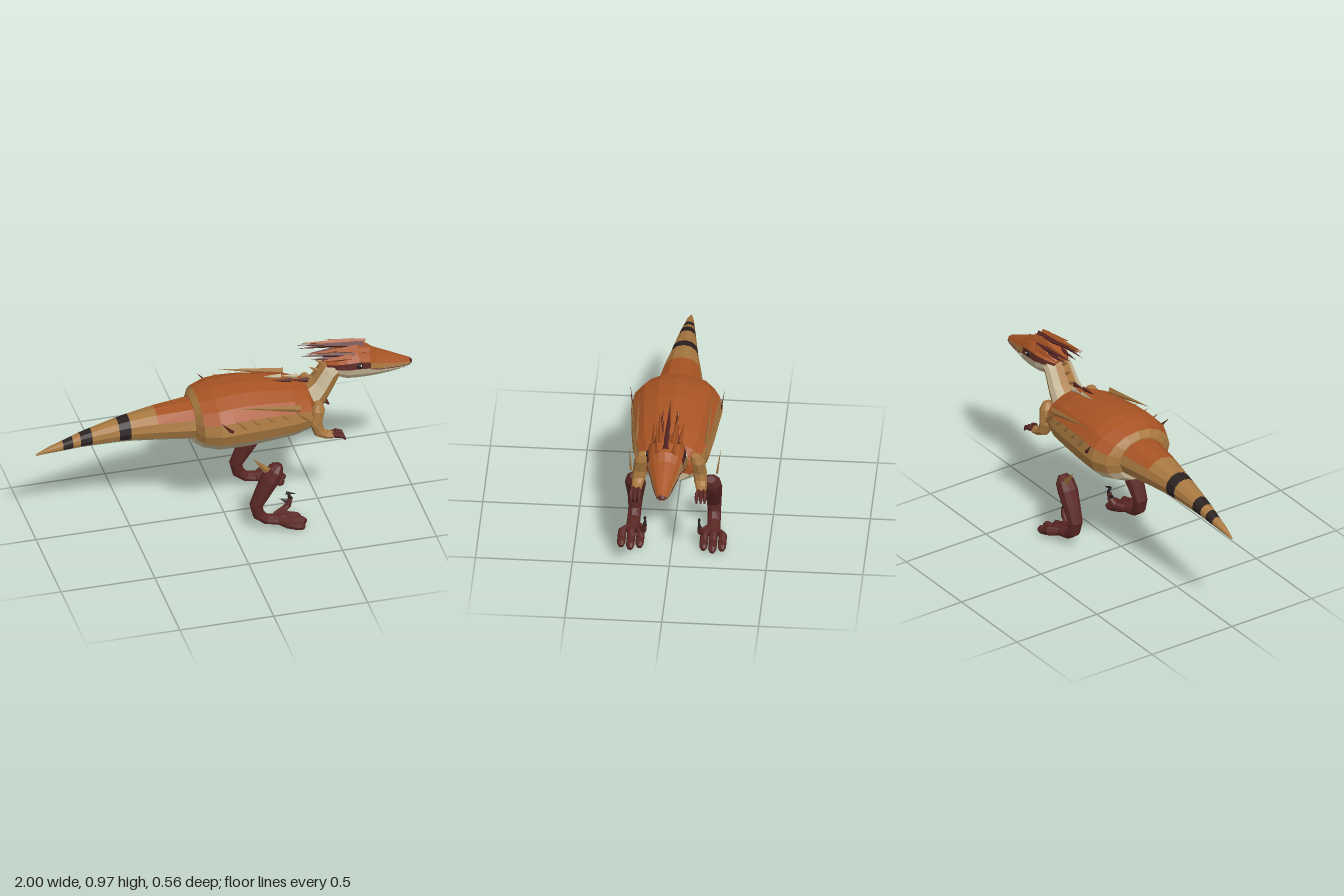
import * as THREE from 'three';

const mat = (name, color) => {
  const m = new THREE.MeshStandardMaterial({ color, flatShading: true });
  m.name = name;
  return m;
};
const C = {
  rust: mat('rust', 0xa85424),
  tan: mat('tan', 0xa87840),
  cream: mat('cream', 0xc6b796),
  maroon: mat('maroon', 0x5a2724),
  black: mat('black', 0x2a2020),
  ivory: mat('ivory', 0xe4dccb),
};

// Skin closed rings with flat faces; colour(i, s) picks a material for ring i at height s (-1..1)
function skin(name, rings, colour) {
  const group = new THREE.Group();
  group.name = name;
  const buckets = {};
  const n = rings[0].length;
  const add = (key, ...pts) => {
    buckets[key] = buckets[key] || [];
    pts.forEach(p => buckets[key].push(p.x, p.y, p.z));
  };
  const centre = r => r.reduce((a, p) => a.add(p), new THREE.Vector3()).divideScalar(n);
  const last = rings.length - 1, c0 = centre(rings[0]), c1 = centre(rings[last]);
  for (let j = 0; j < n; j++) {
    const k = (j + 1) % n, s = Math.sin((j + 0.5) / n * Math.PI * 2);
    for (let i = 0; i < last; i++) {
      const a = rings[i], b = rings[i + 1];
      add(colour(i, s), a[j], b[j], b[k], a[j], b[k], a[k]);
    }
    add(colour(0, s), c0, rings[0][j], rings[0][k]);
    add(colour(last - 1, s), c1, rings[last][k], rings[last][j]);
  }
  for (const key in buckets) {
    const g = new THREE.BufferGeometry();
    g.setAttribute('position', new THREE.Float32BufferAttribute(buckets[key], 3));
    g.computeVertexNormals();
    const m = new THREE.Mesh(g, C[key]);
    m.name = name + ' ' + key;
    group.add(m);
  }
  return group;
}

function ring(x, y, z, up, side, n, angle = 0) {
  return Array.from({ length: n }, (_, j) => {
    const a = j / n * Math.PI * 2, u = Math.sin(a) * up;
    return new THREE.Vector3(x - Math.sin(angle) * u, y + Math.cos(angle) * u, z + Math.cos(a) * side);
  });
}

// Upright sections: [x, top, bottom, half width]
const hull = (name, rows, n, colour) =>
  skin(name, rows.map(([x, t, b, w]) => ring(x, (t + b) / 2, 0, (t - b) / 2, w, n)), colour);

// Sections square to a path: [x, y, z, thickness, half width]
const limb = (name, rows, n, colour) => skin(name, rows.map(([x, y, z, u, w], i) => {
  const p = rows[Math.max(0, i - 1)], q = rows[Math.min(rows.length - 1, i + 1)];
  return ring(x, y, z, u, w, n, Math.atan2(q[1] - p[1], q[0] - p[0]));
}), typeof colour === 'string' ? () => colour : colour);

// Flattened pointed feather, claw or tooth
function spike(name, base, tip, r, colour, flat = 0.4) {
  const a = new THREE.Vector3(...base), b = new THREE.Vector3(...tip);
  const d = b.clone().sub(a), len = d.length();
  const g = new THREE.ConeGeometry(r, len, 4);
  g.translate(0, len / 2, 0);
  const m = new THREE.Mesh(g, C[colour]);
  m.name = name;
  m.scale.z = flat;
  m.quaternion.setFromUnitVectors(new THREE.Vector3(0, 1, 0), d.normalize());
  m.position.copy(a);
  return m;
}

export function createModel() {
  const model = new THREE.Group();
  model.name = 'raptor';
  const add = (...o) => model.add(...o);

  // Torso
  add(hull('torso', [
    [-0.18, 0.735, 0.50, 0.14], [-0.15, 0.765, 0.485, 0.20], [-0.07, 0.79, 0.465, 0.235],
    [0, 0.80, 0.46, 0.235], [0.1, 0.80, 0.455, 0.225], [0.22, 0.785, 0.465, 0.215],
    [0.34, 0.765, 0.475, 0.20], [0.43, 0.735, 0.495, 0.17], [0.47, 0.68, 0.52, 0.11],
  ], 16, (i, s) => s > 0.5 ? (i === 0 ? 'tan' : 'rust') : s > -0.3 ? (i === 7 ? 'rust' : 'tan') : 'cream'));

  // Tail with dark bands
  add(hull('tail', [
    [-1, 0.537, 0.527, 0.004], [-0.93, 0.568, 0.535, 0.018], [-0.86, 0.592, 0.54, 0.027],
    [-0.81, 0.61, 0.545, 0.034], [-0.77, 0.625, 0.548, 0.039], [-0.71, 0.642, 0.55, 0.047],
    [-0.57, 0.678, 0.552, 0.066], [-0.51, 0.69, 0.55, 0.074], [-0.37, 0.712, 0.54, 0.1],
    [-0.16, 0.73, 0.52, 0.135],
  ], 12, (i, s) => s < -0.3 ? 'cream' : [2, 4, 6].includes(i) ? 'black'
    : i === 8 && s > 0.3 ? 'rust' : 'tan'));

  // Neck
  add(limb('neck', [
    [0.40, 0.60, 0, 0.09, 0.11], [0.46, 0.65, 0, 0.08, 0.10], [0.52, 0.725, 0, 0.06, 0.088],
    [0.565, 0.80, 0, 0.056, 0.08], [0.63, 0.85, 0, 0.06, 0.075],
  ], 12, (i, s) => i === 0 ? 'rust' : s > 0.9 ? 'tan' : s > -0.1 ? 'cream' : 'tan'));
  const bib = new THREE.Mesh(new THREE.BoxGeometry(0.02, 0.07, 0.04), C.rust);
  bib.name = 'chest tuft';
  bib.position.set(0.47, 0.54, 0);
  add(bib);

  // Head: crown, face mask and pale jaw
  const head = [
    [0.54, 0.87, 0.80, 0.045], [0.59, 0.905, 0.765, 0.08], [0.64, 0.925, 0.745, 0.098],
    [0.70, 0.93, 0.74, 0.10], [0.76, 0.912, 0.738, 0.092], [0.80, 0.882, 0.738, 0.08],
    [0.88, 0.845, 0.74, 0.058], [0.95, 0.812, 0.748, 0.037], [0.985, 0.797, 0.757, 0.024],
    [1.0, 0.785, 0.765, 0.012],
  ];
  add(hull('head', head, 16, (i, s) => i === 8 && s > 0 ? 'maroon'
    : s < 0 ? 'cream' : s < 0.3 ? (i < 4 ? 'maroon' : 'tan') : 'rust'));

  // Swept crest on the crown
  [[0.74, 0.915, 0, 0.38, 0.975, 0, 'maroon'], [0.70, 0.92, 0.03, 0.42, 0.945, 0.055, 'rust'],
    [0.68, 0.905, 0.05, 0.40, 0.925, 0.035, 'maroon'], [0.66, 0.895, 0.065, 0.47, 0.905, 0.08, 'rust'],
    [0.64, 0.885, 0.04, 0.45, 0.89, 0.03, 'maroon'], [0.76, 0.90, 0.04, 0.55, 0.945, 0.06, 'rust'],
  ].forEach(([x, y, z, X, Y, Z, c]) => {
    for (const s of z ? [1, -1] : [1]) add(spike('crest feather', [x, y, z * s], [X, Y, Z * s], 0.024, c, 0.7));
  });

  // Small spines behind the neck and quills on the back
  [[0.54, 0.83], [0.51, 0.79], [0.48, 0.745]].forEach(([x, y]) =>
    add(spike('neck spine', [x, y, 0], [x - 0.06, y + 0.04, 0], 0.015, 'tan')));
  for (let i = 0; i < 4; i++) {
    const x = 0.31 + i * 0.045, y = 0.775 - i * 0.006, z = i % 2 ? 0.012 : -0.03;
    add(spike('back quill', [x, y, z], [x - 0.1, y + 0.015, z], 0.016, i % 2 ? 'maroon' : 'cream'));
  }

  for (const s of [1, -1]) {
    const side = s > 0 ? 'left ' : 'right ';

    // Eye and glint
    const eye = new THREE.Mesh(new THREE.SphereGeometry(0.018, 10, 6), C.black);
    eye.name = side + 'eye';
    eye.position.set(0.70, 0.852, s * 0.097);
    eye.scale.z = 0.4;
    const glint = new THREE.Mesh(new THREE.SphereGeometry(0.005, 6, 4), C.ivory);
    glint.name = side + 'eye glint';
    glint.position.set(0.705, 0.857, s * 0.104);
    add(eye, glint);

    // Mouth line and teeth along the jaw edge
    const lip = head.slice(4, 9).map(([x, t, b, w]) => new THREE.Vector3(x, (t + b) / 2 - 0.004, s * w));
    const curve = new THREE.CatmullRomCurve3(lip);
    const mouth = new THREE.Mesh(new THREE.TubeGeometry(curve, 10, 0.003, 4), C.maroon);
    mouth.name = side + 'mouth line';
    add(mouth);
    for (let i = 0; i < 9; i++) {
      const p = curve.getPoint(0.08 + i * 0.1);
      add(spike(side + 'tooth', [p.x, p.y, p.z], [p.x, p.y - 0.015, p.z], 0.006, 'ivory', 0.7));
    }

    // Flank quills trailing up and back
    for (let i = 0; i < 6; i++) {
      const x = 0.02 + i * 0.08;
      const z = 0.232 - i * 0.009;
      add(spike(side + 'flank quill', [x, 0.61, s * (z - 0.012)],
        [x - 0.1, 0.725 - i * 0.004, s * (z + 0.012)], 0.016, i ? 'tan' : 'maroon'));
    }
    // Long folded feather above them
    add(spike(side + 'shoulder feather', [0.36, 0.70, s * 0.18], [0.02, 0.765, s * 0.19], 0.022, 'tan'));

    // Arm, hand and fingers
    add(limb(side + 'arm', [
      [0.47, 0.69, s * 0.135, 0.02, 0.025], [0.465, 0.655, s * 0.145, 0.036, 0.036],
      [0.45, 0.58, s * 0.155, 0.034, 0.036], [0.465, 0.53, s * 0.16, 0.03, 0.034],
      [0.50, 0.51, s * 0.165, 0.022, 0.028], [0.535, 0.505, s * 0.168, 0.02, 0.025],
    ], 8, 'tan'));
    [0.148, 0.17, 0.19].forEach((z, i) => add(limb(side + 'finger', [
      [0.51, 0.508, s * 0.167, 0.016, 0.014], [0.555, 0.51 - (i % 2) * 0.008, s * z, 0.015, 0.011],
      [0.585, 0.50, s * z, 0.012, 0.01], [0.598, 0.478, s * z, 0.005, 0.004],
    ], 6, 'maroon')));

    // Shin, ankle and foot
    add(limb(side + 'leg', [
      [0.245, 0.385, s * 0.196, 0.02, 0.025], [0.225, 0.355, s * 0.196, 0.044, 0.05],
      [0.195, 0.31, s * 0.197, 0.05, 0.054], [0.155, 0.235, s * 0.2, 0.043, 0.046],
      [0.118, 0.16, s * 0.203, 0.035, 0.038], [0.13, 0.105, s * 0.205, 0.032, 0.034],
      [0.17, 0.07, s * 0.207, 0.026, 0.034], [0.26, 0.052, s * 0.208, 0.024, 0.036],
    ], 10, 'maroon'));
    // Three walking toes
    [0.165, 0.212, 0.26].forEach((z, i) => {
      const e = i === 1 ? 0.02 : 0;
      add(limb(side + 'toe', [
        [0.21, 0.06, s * 0.208, 0.018, 0.018], [0.27, 0.055, s * z, 0.026, 0.021],
        [0.31, 0.038, s * z, 0.022, 0.022], [0.345 + e, 0.03, s * z, 0.023, 0.021],
        [0.36 + e, 0.022, s * z, 0.014, 0.013],
      ], 8, 'maroon'));
    });
    // Raised inner toe with hooked claws
    add(limb(side + 'raised toe', [
      [0.22, 0.065, s * 0.18, 0.018, 0.016], [0.27, 0.068, s * 0.152, 0.02, 0.017],
      [0.305, 0.095, s * 0.146, 0.017, 0.015], [0.315, 0.13, s * 0.144, 0.013, 0.012],
    ], 8, 'maroon'));
    add(spike(side + 'hooked claw', [0.318, 0.125, s * 0.142], [0.30, 0.175, s * 0.14], 0.014, 'black', 0.7));
    add(spike(side + 'hooked claw tip', [0.295, 0.165, s * 0.14], [0.35, 0.152, s * 0.14], 0.011, 'black', 0.7));
    add(spike(side + 'heel claw', [0.30, 0.115, s * 0.14], [0.26, 0.135, s * 0.138], 0.014, 'black', 0.7));

    // Knee feather
    add(spike(side + 'knee feather', [0.175, 0.375, s * 0.222], [0.09, 0.475, s * 0.237], 0.02, 'tan', 0.3));
  }
  return model;
}
